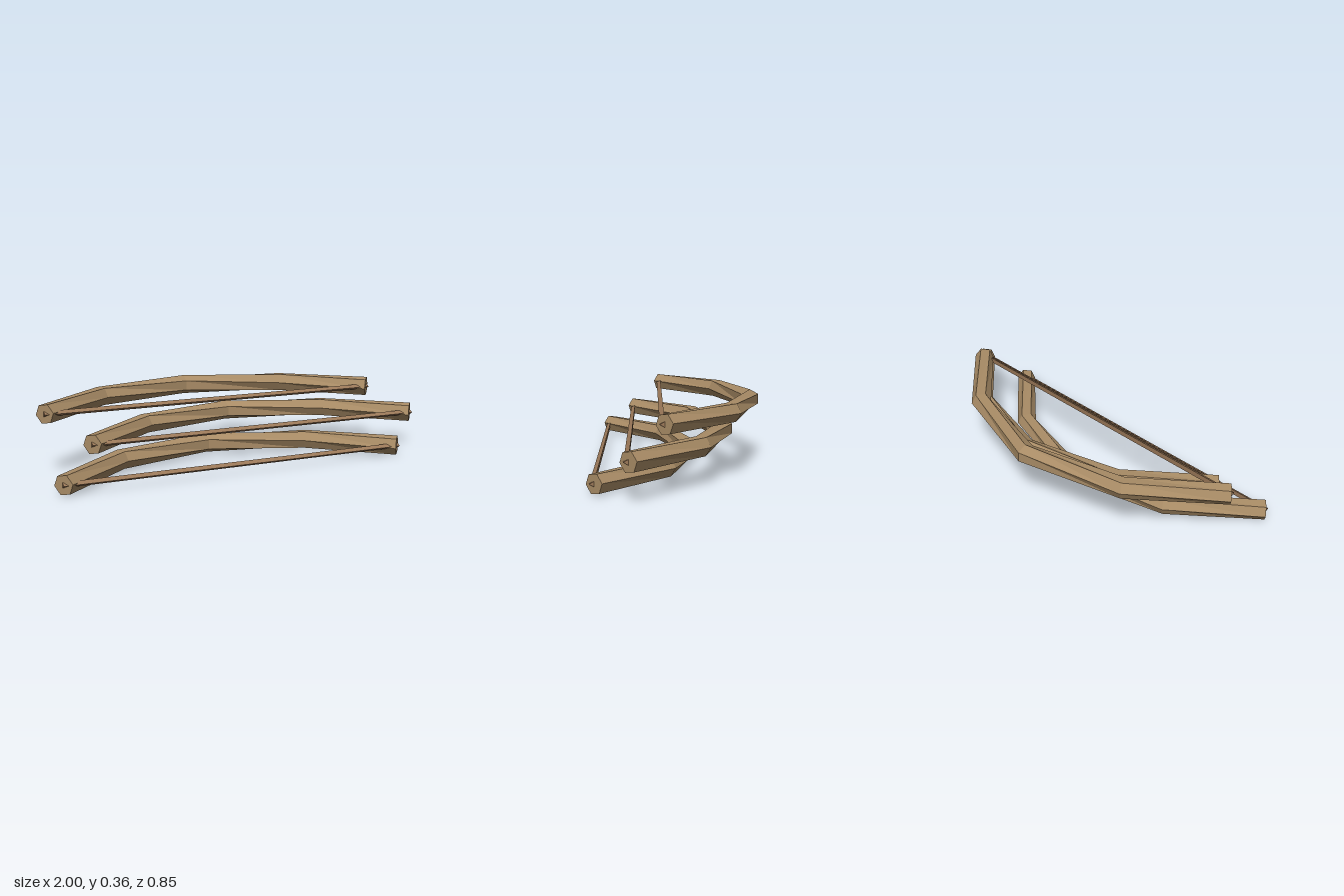
import * as THREE from 'three';

const wood = new THREE.MeshStandardMaterial({ color: 0xa98c66, flatShading: true });
wood.name = 'wood';
const cord = new THREE.MeshStandardMaterial({ color: 0x9a7858, flatShading: true });
cord.name = 'cord';

const RADIUS = 0.05, SIDES = 6;
// Centre line of the limb (x, z), right tip to left tip, with the twist at each joint
const PATH = [[0.878, 0.388], [0.51, 0.067], [0, -0.074], [-0.51, 0.067], [-0.878, 0.388]];
const TWIST = [9, -2, -30, -58, -69];

// Hexagonal limb, mitred at each bend and slowly twisting along its length
function limbGeometry() {
  const points = PATH.map(([x, z]) => new THREE.Vector3(x, 0, z));
  const up = new THREE.Vector3(0, 1, 0);
  const last = points.length - 1;
  const rings = points.map((p, k) => {
    const before = points[Math.max(k, 1)].clone().sub(points[Math.max(k, 1) - 1]).normalize();
    const n = Math.min(k, last - 1);
    const after = points[n + 1].clone().sub(points[n]).normalize();
    const tangent = before.clone().add(after).normalize();
    const outward = up.clone().cross(tangent).negate();
    if (outward.z > 0) outward.negate();
    const mitre = 1 / tangent.dot(after);
    return Array.from({ length: SIDES }, (_, i) => {
      const a = THREE.MathUtils.degToRad(TWIST[k] + i * 360 / SIDES);
      return p.clone()
        .addScaledVector(outward, RADIUS * mitre * Math.cos(a))
        .addScaledVector(up, RADIUS * Math.sin(a));
    });
  });

  const corners = [];
  for (let i = 0; i < SIDES; i++) {
    const j = (i + 1) % SIDES;
    for (let k = 0; k < last; k++) {
      const [a, b, c, d] = [rings[k][i], rings[k][j], rings[k + 1][i], rings[k + 1][j]];
      corners.push(a, c, b, b, c, d);
    }
    // End caps
    corners.push(points[0], rings[0][i], rings[0][j]);
    corners.push(points[last], rings[last][j], rings[last][i]);
  }
  const geometry = new THREE.BufferGeometry().setFromPoints(corners);
  geometry.computeVertexNormals();
  return geometry;
}

export function createModel() {
  const group = new THREE.Group();
  group.name = 'stackedBows';
  const limb = limbGeometry();
  // Three-sided string whose ends just poke out of the tips
  const string = new THREE.CylinderGeometry(0.015, 0.015, 1.764, 3);
  string.rotateZ(Math.PI / 2);

  // Three bows, stacked and staggered
  const places = [[-0.09, 0.052, 0], [0.09, 0.183, -0.154], [-0.09, 0.312, -0.307]];
  places.forEach(([x, y, z], i) => {
    const bow = new THREE.Group();
    bow.name = 'bow' + (i + 1);
    bow.position.set(x, y, z);
    const limbMesh = new THREE.Mesh(limb, wood);
    limbMesh.name = 'limb';
    const stringMesh = new THREE.Mesh(string, cord);
    stringMesh.name = 'bowString';
    stringMesh.position.z = 0.394;
    bow.add(limbMesh, stringMesh);
    group.add(bow);
  });
  return group;
}
